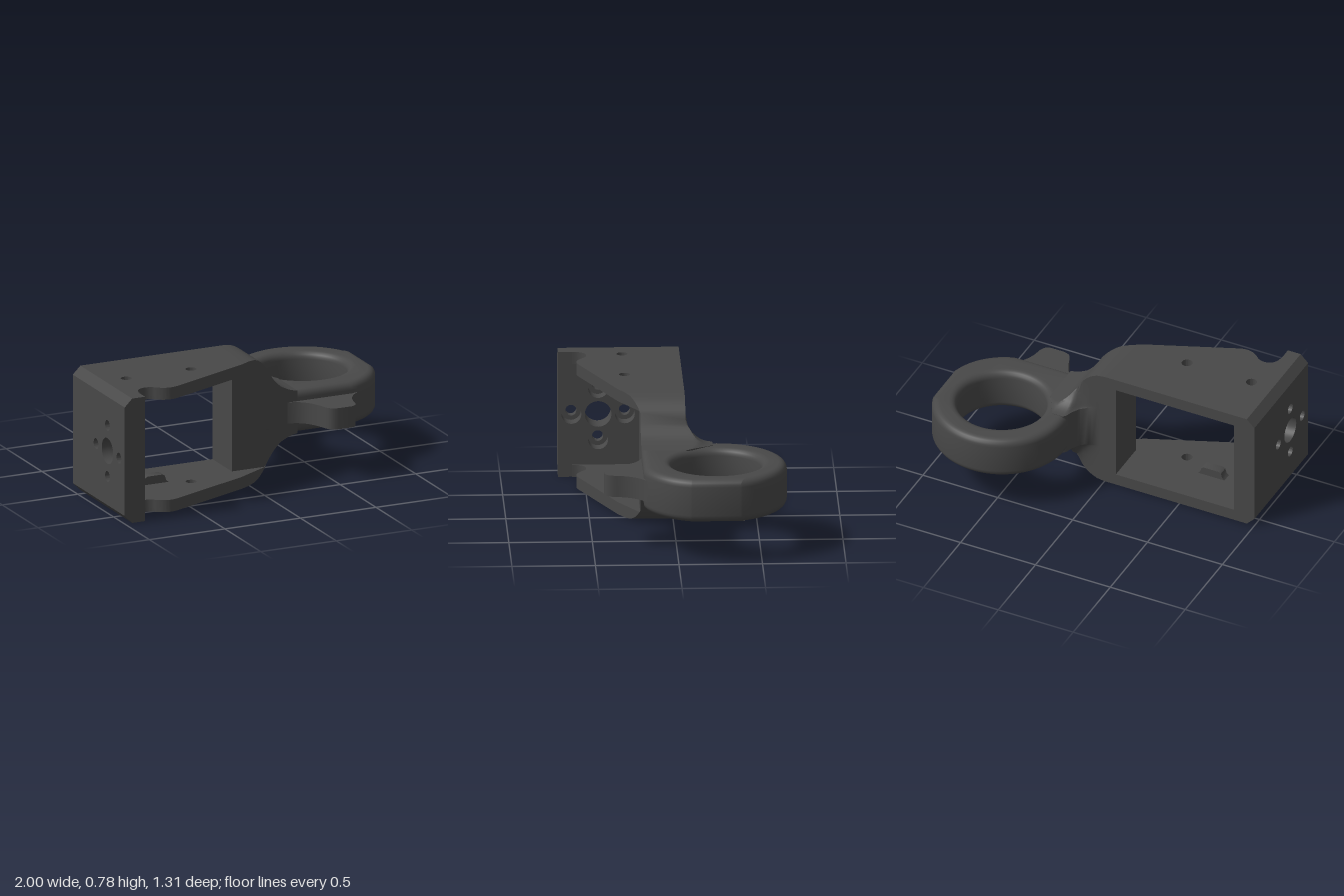
import * as THREE from 'three';
import { toCreasedNormals } from 'three/addons/utils/BufferGeometryUtils.js';

const MID = 0.39; // height of the symmetry plane

export function createModel() {
  const group = new THREE.Group();
  const material = new THREE.MeshStandardMaterial({ color: 0x484848 });

  const add = (name, geometry, crease = 0.6) => {
    const mesh = new THREE.Mesh(toCreasedNormals(geometry, crease), material);
    mesh.name = name;
    group.add(mesh);
    return mesh;
  };
  const hole = (shape, x, y, r) => shape.holes.push(new THREE.Path().absarc(x, y, r, 0, Math.PI * 2, true));
  // Plan outline (x, -z) raised from y0 to y1
  const slab = (shape, y0, y1) =>
    new THREE.ExtrudeGeometry(shape, { depth: y1 - y0, bevelEnabled: false, curveSegments: 20 })
      .rotateX(-Math.PI / 2).translate(0, y0, 0);

  // End plate: chamfered outer layer with bolt holes, inner layer with counterbores
  const plateLayer = (name, x0, x1, r, chamfer) => {
    const s = new THREE.Shape();
    s.moveTo(-0.655, 0).lineTo(0.07, 0).lineTo(0.07, 0.78).lineTo(-0.655, 0.78).closePath();
    hole(s, -0.415, MID, 0.08);
    for (let i = 0; i < 4; i++) {
      const a = i * Math.PI / 2;
      hole(s, -0.415 + 0.16 * Math.cos(a), MID + 0.16 * Math.sin(a), r);
    }
    const g = new THREE.ExtrudeGeometry(s, { depth: x1 - x0, bevelEnabled: false, curveSegments: 16 })
      .rotateY(Math.PI / 2).translate(x0, 0, 0);
    const p = g.attributes.position;
    for (let i = 0; i < p.count; i++) {
      if (p.getX(i) < x0 + 0.001) p.setY(i, THREE.MathUtils.clamp(p.getY(i), chamfer, 0.78 - chamfer));
    }
    add(name, g);
  };
  plateLayer('endPlateOuter', -1, -0.95, 0.033, 0.05);
  plateLayer('endPlateInner', -0.95, -0.865, 0.06, 0);

  // Two side arms with their pin holes and small inner catches
  const arm = new THREE.Shape();
  arm.moveTo(-0.87, 0.07).lineTo(-0.87, -0.57).lineTo(-0.862, -0.57);
  arm.bezierCurveTo(-0.86, -0.48, -0.77, -0.47, -0.73, -0.515);
  arm.bezierCurveTo(-0.69, -0.55, -0.65, -0.565, -0.59, -0.54);
  arm.lineTo(-0.075, -0.328).lineTo(-0.075, 0.07).closePath();
  hole(arm, -0.81, -0.275, 0.033);
  hole(arm, -0.38, -0.275, 0.033);
  const tab = new THREE.Shape();
  tab.moveTo(-0.09, 0).lineTo(-0.073, 0.015).lineTo(-0.065, 0.043).lineTo(-0.05, 0.052)
    .lineTo(0.05, 0.052).lineTo(0.065, 0.043).lineTo(0.073, 0.015).lineTo(0.09, 0).closePath();
  for (const top of [false, true]) {
    const side = top ? 'upper' : 'lower';
    add(side + 'Arm', top ? slab(arm, 0.705, 0.78) : slab(arm, 0, 0.075));
    const g = new THREE.ExtrudeGeometry(tab, { depth: 0.06, bevelEnabled: false });
    if (top) g.rotateZ(Math.PI);
    add(side + 'Catch', g.translate(-0.595, top ? 0.706 : 0.074, 0.165));
  }

  // Neck: cross-sections along x, from the full frame height down to the ring
  const lookup = (keys, x) => {
    let i = 0;
    while (i < keys.length - 2 && x > keys[i + 1][0]) i++;
    const [a, b] = [keys[i], keys[i + 1]];
    return THREE.MathUtils.lerp(a[1], b[1], THREE.MathUtils.clamp((x - a[0]) / (b[0] - a[0]), 0, 1));
  };
  const halfHeight = [[-0.075, 0.39], [0, 0.39], [0.05, 0.383], [0.08, 0.37], [0.11, 0.35], [0.135, 0.325],
    [0.15, 0.305], [0.17, 0.268], [0.2, 0.225], [0.225, 0.196], [0.25, 0.173], [0.3, 0.148], [0.33, 0.139], [0.36, 0.133]];
  const backReach = [[0.05, 0], [0.1, 0.1], [0.14, 0.3], [0.17, 0.62], [0.185, 0.92], [0.2, 1], [0.27, 1], [0.36, 0]];
  const section = (x) => {
    const h = lookup(halfHeight, x), k = lookup(backReach, x);
    const slant = 0.2 + Math.max(0, 0.15 - x) * 0.57, c = Math.min(h, 0.315);
    const half = [];
    for (let i = 8; i >= 0; i--) {
      const s = 0.16 * i / 8, d = 0.17 - s;
      half.push([-0.07 - s * k, Math.min(h, 0.305 - Math.sqrt(Math.max(0, 0.0289 - d * d)))]);
    }
    half.push([-0.07, h], [slant, h], [slant, c], [0.2, c]);
    return [...half, ...half.slice().reverse().map(([z, y]) => [z, -y])];
  };
  const xs = [-0.075, 0, 0.025, 0.05, 0.08, 0.1, 0.12, 0.14, 0.15, 0.17, 0.185, 0.2, 0.225, 0.25, 0.27, 0.3, 0.33, 0.36];
  const positions = [], index = [];
  const n = section(0).length;
  xs.forEach((x, j) => {
    section(x).forEach(([z, y], i) => {
      positions.push(x, MID + y, z);
      if (j === xs.length - 1) return;
      const a = j * n + i, b = j * n + (i + 1) % n;
      index.push(a, b, a + n, b, b + n, a + n);
    });
  });
  const neck = new THREE.BufferGeometry();
  neck.setAttribute('position', new THREE.Float32BufferAttribute(positions, 3));
  neck.setIndex(index);
  add('neck', neck, 0.7);
  // Wall that closes the neck towards the window
  add('windowWall', new THREE.BoxGeometry(0.05, 0.64, 0.268).translate(-0.05, MID, 0.065));

  // Ring with its rounded edges, flattened on the outer side
  const ring = new THREE.Shape();
  ring.moveTo(0.15, -0.2).lineTo(0.72, -0.2).lineTo(0.77, -0.185);
  ring.quadraticCurveTo(0.95, -0.1, 1, 0.08);
  ring.lineTo(1, 0.368);
  ring.absarc(0.6, 0.24, 0.42, Math.atan2(0.128, 0.4), Math.PI, false);
  ring.lineTo(0.18, 0.1).lineTo(0.15, 0.07).closePath();
  hole(ring, 0.6, 0.24, 0.27);
  const r = 0.045;
  const ringGeo = new THREE.ExtrudeGeometry(ring, {
    depth: 0.265 - 2 * r, bevelThickness: r, bevelSize: r, bevelOffset: -r, bevelSegments: 5, curveSegments: 40,
  }).rotateX(-Math.PI / 2).translate(0, 0.2575 + r, 0);
  add('ring', ringGeo);

  // Rounded lug on the front of the ring
  const lug = new THREE.Shape();
  lug.moveTo(0.28, -0.15).lineTo(0.28, -0.198);
  lug.bezierCurveTo(0.38, -0.21, 0.42, -0.27, 0.45, -0.36);
  lug.bezierCurveTo(0.465, -0.41, 0.48, -0.43, 0.53, -0.432);
  lug.lineTo(0.6, -0.432);
  lug.bezierCurveTo(0.64, -0.432, 0.655, -0.4, 0.66, -0.36);
  lug.bezierCurveTo(0.67, -0.28, 0.71, -0.22, 0.78, -0.18);
  lug.lineTo(0.78, -0.15).closePath();
  add('lug', slab(lug, 0.325, 0.457));

  return group;
}
